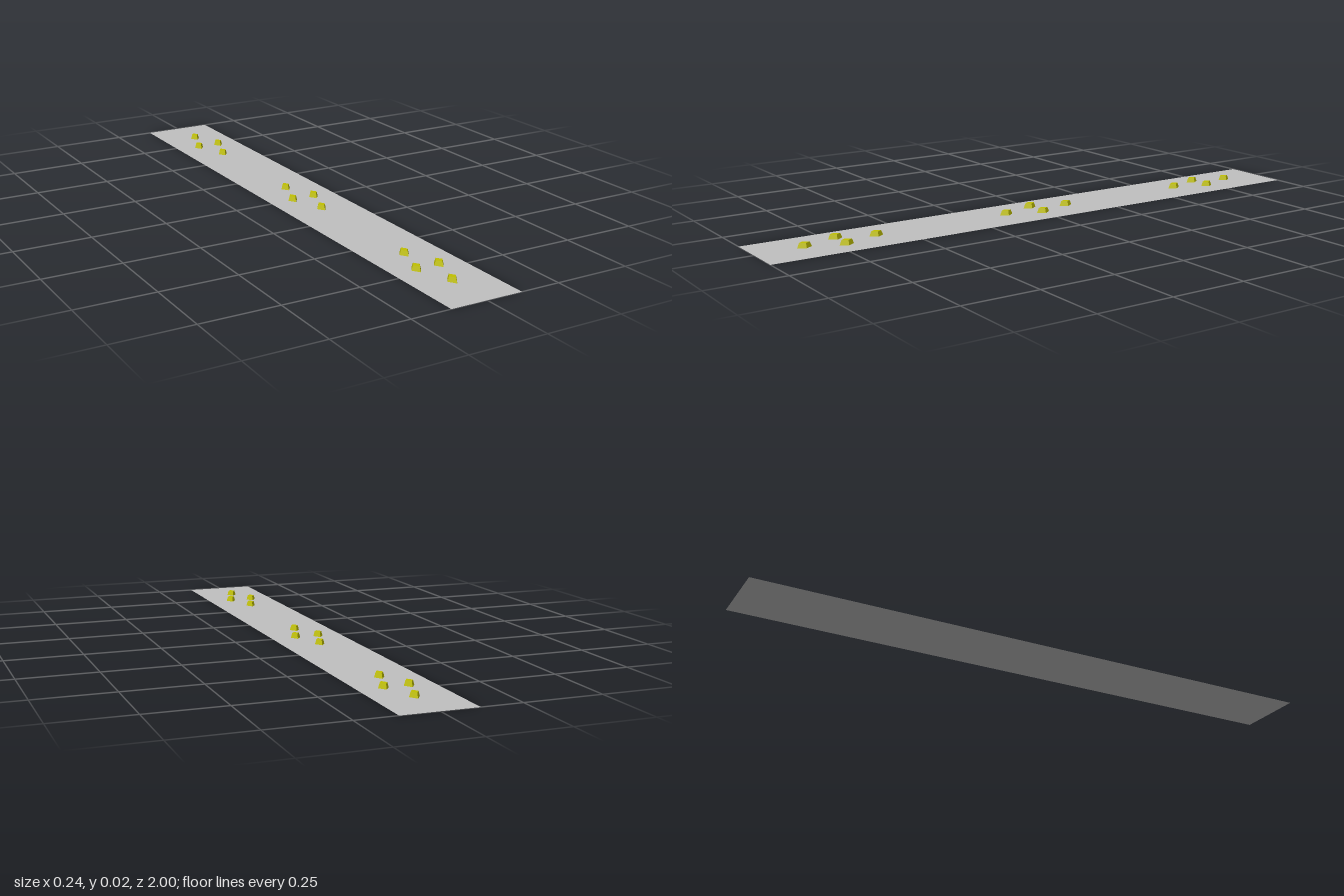
import * as THREE from 'three';

export function createModel() {
  const model = new THREE.Group();
  model.name = 'studdedStrip';

  const grey = new THREE.MeshStandardMaterial({ color: 0xc0c0c0, side: THREE.DoubleSide });
  grey.name = 'light grey';
  const yellow = new THREE.MeshStandardMaterial({ color: 0xc0c000, flatShading: true });
  yellow.name = 'olive yellow';

  // Flat strip lying on the ground
  const strip = new THREE.Mesh(new THREE.PlaneGeometry(0.24, 2).rotateX(-Math.PI / 2), grey);
  strip.name = 'strip';
  model.add(strip);

  // Tapered four-sided stud, longer along the strip; its base sits just above the sheet
  const height = 0.0155;
  const studGeometry = new THREE.CylinderGeometry(0.012, 0.0165, height, 4);
  studGeometry.scale(1, 1, 1.45).translate(0, height / 2 + 0.0005, 0);

  // Three clusters of four studs, each set out as a diamond
  const offsets = [[0, -0.12], [0.04, 0], [0, 0.12], [-0.04, 0]];
  for (const centre of [-0.72, 0, 0.72]) {
    const cluster = new THREE.Group();
    cluster.name = 'studCluster';
    cluster.position.z = centre;
    for (const [x, z] of offsets) {
      const stud = new THREE.Mesh(studGeometry, yellow);
      stud.name = 'stud';
      stud.position.set(x, 0, z);
      cluster.add(stud);
    }
    model.add(cluster);
  }
  return model;
}
